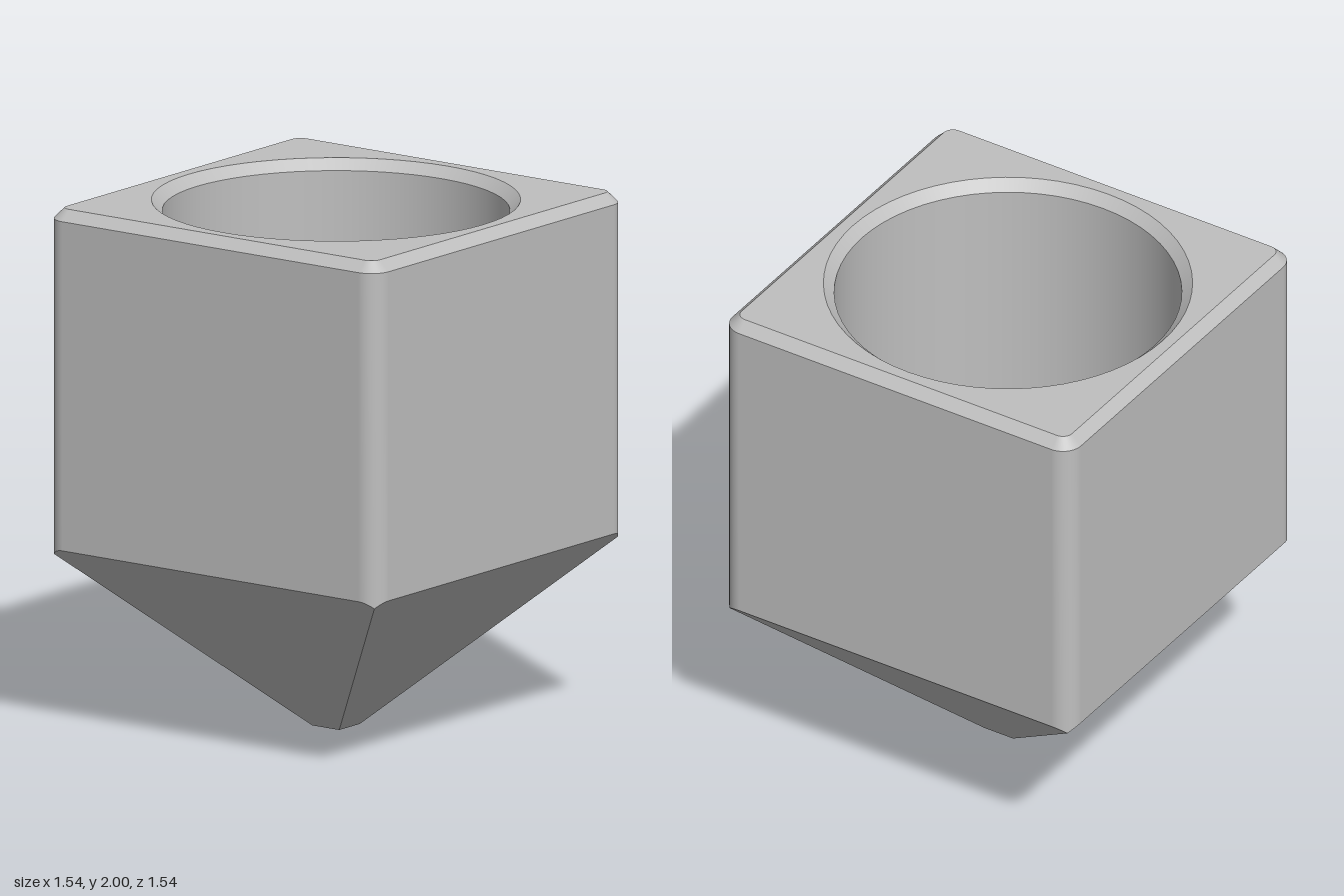
import * as THREE from 'three';

const HALF = 0.77;      // half width of the square body
const CORNER = 0.08;    // radius of the vertical edges
const TIP = 0.063;      // half width of the flat tip
const BEVEL = 0.04;     // bevel on both rims
const HOLE = 0.645;     // radius of the round cavity
const FLOOR = 0.71;     // height of the cavity floor
const HEIGHT = 2;
const STEPS = 10;       // segments per rounded corner, even so one point sits on the diagonal

// Rounded square as a closed ring; y comes from a rule on x and z
function ring(half, radius, heightAt) {
  const points = [];
  for (let corner = 0; corner < 4; corner++) {
    const mid = (corner + 0.5) * Math.PI / 2;
    const cx = Math.sign(Math.cos(mid)) * (half - radius);
    const cz = Math.sign(Math.sin(mid)) * (half - radius);
    for (let i = 0; i <= STEPS; i++) {
      const a = (corner + i / STEPS) * Math.PI / 2;
      const x = cx + radius * Math.cos(a);
      const z = cz + radius * Math.sin(a);
      points.push(new THREE.Vector3(x, heightAt(x, z), z));
    }
  }
  return points;
}

// Outward facing skin between two rings, smooth or flat
function band(lower, upper, smooth) {
  const n = lower.length;
  const index = [];
  for (let i = 0; i < n; i++) {
    const j = (i + 1) % n;
    index.push(i, n + i, n + j);
    if (lower[i].distanceTo(lower[j]) > 1e-6) index.push(i, n + j, j);
  }
  let geometry = new THREE.BufferGeometry().setFromPoints([...lower, ...upper]);
  geometry.setIndex(index);
  if (!smooth) geometry = geometry.toNonIndexed();
  geometry.computeVertexNormals();
  return geometry;
}

export function createModel() {
  const group = new THREE.Group();
  const grey = new THREE.MeshStandardMaterial({ color: 0xbfbfbf });
  grey.name = 'plain grey';

  const add = (name, geometry) => {
    const mesh = new THREE.Mesh(geometry, grey);
    mesh.name = name;
    group.add(mesh);
    return mesh;
  };

  // Rings from the tip up to the rim
  const tip = ring(TIP, 0, () => 0);
  const wallBottom = ring(HALF, CORNER, (x, z) => Math.max(Math.abs(x), Math.abs(z)) - TIP);
  const wallTop = ring(HALF, CORNER, () => HEIGHT - BEVEL);
  const rim = ring(HALF - BEVEL, CORNER - BEVEL, () => HEIGHT);

  add('pyramidBase', band(tip, wallBottom, false));
  add('outerWalls', band(wallBottom, wallTop, true));
  add('outerBevel', band(wallTop, rim, true));

  // Flat tip facing down
  const tipCap = add('tipCap', new THREE.PlaneGeometry(TIP * 2, TIP * 2));
  tipCap.rotation.x = Math.PI / 2;

  // Top face with the round opening
  const deck = new THREE.Shape(rim.map((p) => new THREE.Vector2(p.x, p.z)));
  deck.holes.push(new THREE.Path().absarc(0, 0, HOLE + BEVEL, 0, Math.PI * 2, true));
  const topFace = add('topFace', new THREE.ShapeGeometry(deck, 32));
  topFace.rotation.x = -Math.PI / 2;
  topFace.position.y = HEIGHT;

  // Cavity: each profile segment is its own lathe so the edges stay sharp
  const profile = [[HOLE + BEVEL, HEIGHT], [HOLE, HEIGHT - BEVEL], [HOLE, FLOOR], [0, FLOOR]]
    .map(([r, y]) => new THREE.Vector2(r, y));
  ['innerBevel', 'cavityWall', 'cavityFloor'].forEach((name, i) => {
    add(name, new THREE.LatheGeometry([profile[i], profile[i + 1]], 64));
  });

  return group;
}
